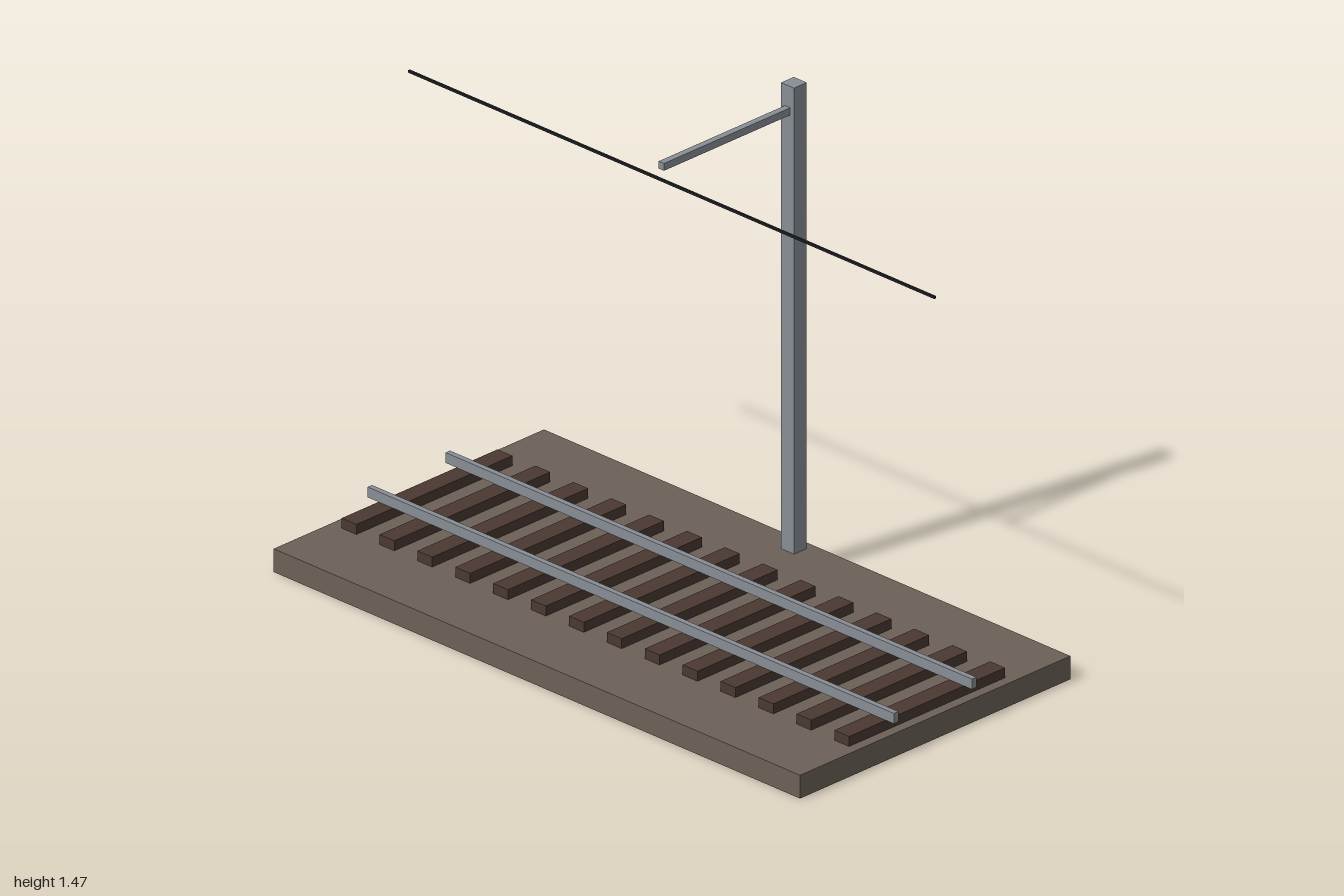
import * as THREE from 'three';

const material = (name, color) => {
  const m = new THREE.MeshStandardMaterial({ color });
  m.name = name;
  return m;
};

export function createModel() {
  const model = new THREE.Group();
  model.name = 'electrifiedTrack';

  const gravel = material('gravel brown', 0x6b6158);
  const timber = material('dark timber', 0x4a3931);
  const steel = material('grey steel', 0x878e94);
  const cable = material('black cable', 0x1c1f22);

  // Adds a box by its size and centre
  const box = (name, mat, [w, h, d], [x, y, z]) => {
    const mesh = new THREE.Mesh(new THREE.BoxGeometry(w, h, d), mat);
    mesh.name = name;
    mesh.position.set(x, y, z);
    model.add(mesh);
  };

  // Track bed
  box('trackBed', gravel, [2, 0.07, 1.04], [0, 0.035, 0]);

  // Evenly spaced sleepers
  for (let i = 0; i < 14; i++) {
    box('sleeper', timber, [0.056, 0.03, 0.6], [-0.931 + i * 0.144, 0.085, 0]);
  }

  // Pair of rails
  for (const side of [-1, 1]) {
    box('rail', steel, [2, 0.031, 0.017], [0, 0.1155, side * 0.15]);
  }

  // Mast with its arm reaching over the track
  box('mast', steel, [0.049, 1.4, 0.049], [0, 0.77, -0.469]);
  box('mastArm', steel, [0.02, 0.022, 0.51], [0, 1.395, -0.214]);

  // Overhead wire
  box('overheadWire', cable, [2, 0.007, 0.007], [0, 1.326, 0]);

  return model;
}
